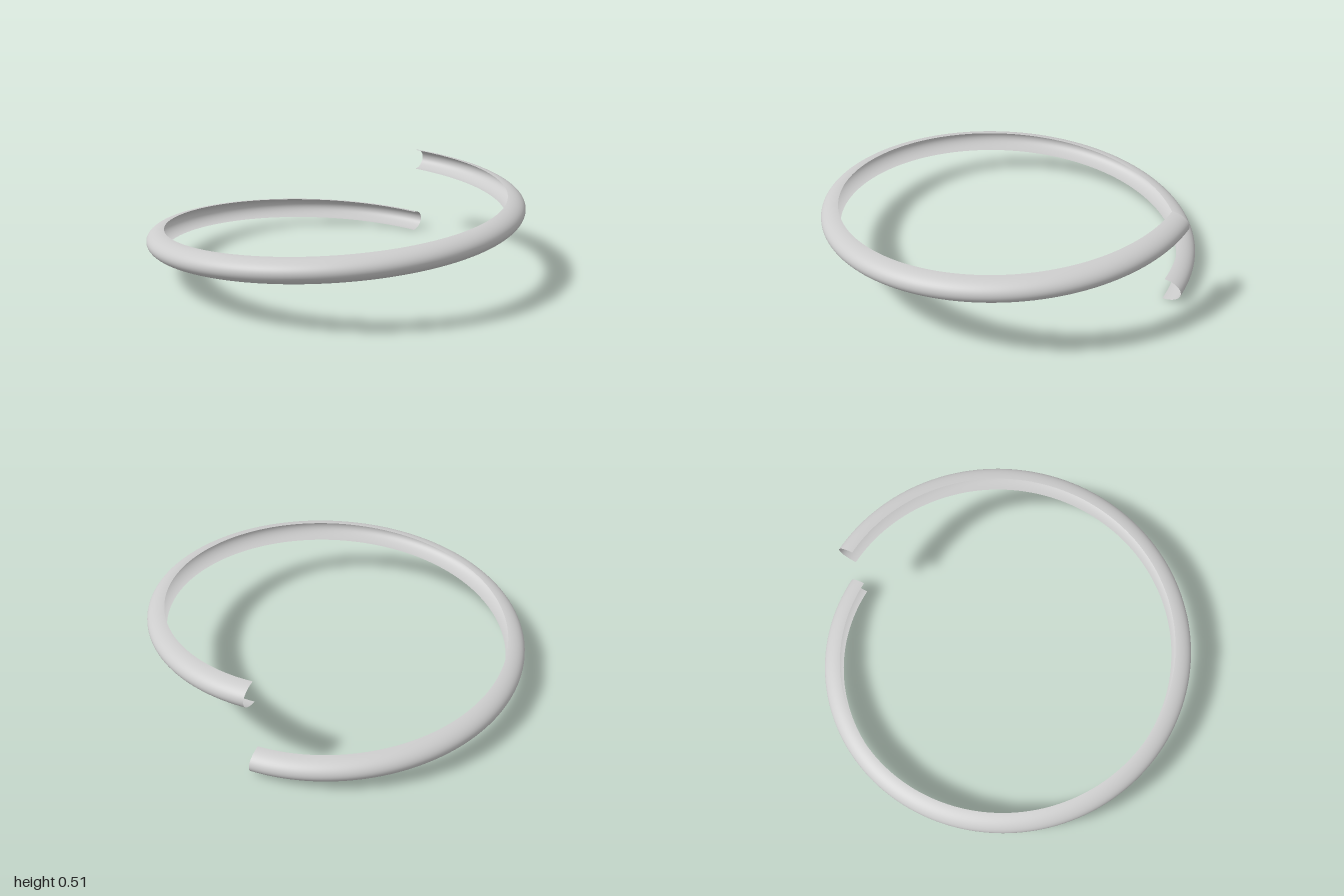
import * as THREE from 'three';
import { ParametricGeometry } from 'three/addons/geometries/ParametricGeometry.js';

const INNER = 0.907;      // radius of the two open lips
const DEPTH = 0.093;      // how far the channel bulges outward
const HALF_HEIGHT = 0.059;
const RISE = 0.397;       // climb over the single turn

export function createModel() {
  const group = new THREE.Group();
  group.name = 'helicalChannel';

  // Half-elliptical channel, open towards the axis, swept along one helix turn
  const sweep = (u, v, target) => {
    const turn = u * Math.PI * 2;
    const around = (v - 0.5) * Math.PI;
    const r = INNER + DEPTH * Math.cos(around);
    const y = HALF_HEIGHT + RISE * u + HALF_HEIGHT * Math.sin(around);
    target.set(-r * Math.sin(turn), y, -r * Math.cos(turn));
  };

  const coil = new THREE.Mesh(
    new ParametricGeometry(sweep, 160, 24),
    new THREE.MeshStandardMaterial({ color: 0xcccccc, side: THREE.DoubleSide })
  );
  coil.name = 'coil';

  // Face the outer side of the channel outward
  const { position, normal, } = coil.geometry.attributes;
  const mid = Math.floor(position.count / 2);
  const facing = position.getX(mid) * normal.getX(mid) + position.getZ(mid) * normal.getZ(mid);
  if (facing < 0) {
    const index = coil.geometry.index;
    for (let i = 0; i < index.count; i += 3) {
      const a = index.getX(i);
      index.setX(i, index.getX(i + 1));
      index.setX(i + 1, a);
    }
    for (let i = 0; i < normal.count; i++) {
      normal.setXYZ(i, -normal.getX(i), -normal.getY(i), -normal.getZ(i));
    }
  }

  group.add(coil);
  return group;
}
